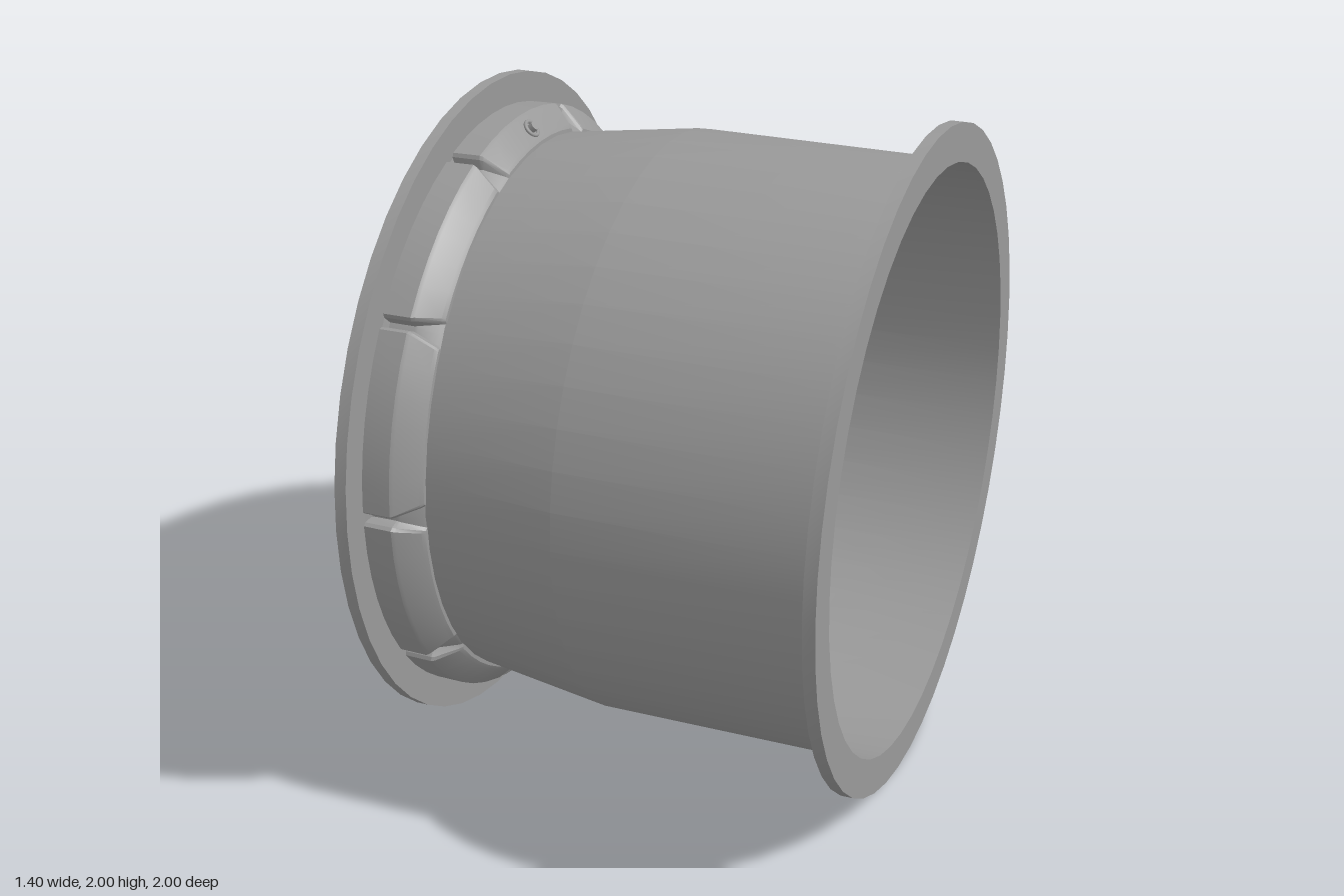
import * as THREE from 'three';
import { toCreasedNormals } from 'three/addons/utils/BufferGeometryUtils.js';

const metal = new THREE.MeshStandardMaterial({ color: 0x999999, side: THREE.DoubleSide });
const red = new THREE.MeshStandardMaterial({ color: 0xa04c4c, side: THREE.DoubleSide });
const DEG = Math.PI / 180;

function add(parent, name, geometry, material = metal) {
  const mesh = new THREE.Mesh(geometry, material);
  mesh.name = name;
  parent.add(mesh);
  return mesh;
}

// Ring turned around the x axis from a closed profile of [x, radius]
function turned(profile, segments = 48, crease = 0.15) {
  const pts = [...profile, profile[0]].map(([x, r]) => new THREE.Vector2(r, x));
  return toCreasedNormals(new THREE.LatheGeometry(pts, segments).rotateZ(-Math.PI / 2), crease);
}

// Surface through rows of [x, y, z] points
function loft(rows, crease) {
  const n = rows[0].length, index = [];
  for (let i = 0; i < rows.length - 1; i++) {
    for (let j = 0; j < n - 1; j++) {
      const a = i * n + j, b = a + 1, c = a + n, d = c + 1;
      index.push(a, b, c, b, d, c);
    }
  }
  const g = new THREE.BufferGeometry();
  g.setAttribute('position', new THREE.Float32BufferAttribute(rows.flat(2), 3));
  g.setIndex(index);
  return toCreasedNormals(g, crease);
}

// Ten raised pads around the outside, parted by grooves that flare towards the barrel
function collar() {
  // x, groove radius, pad radius, half angle of the pad's flat top
  const profile = [[-0.67, 0.87, 0.908, 16.6], [-0.58, 0.87, 0.91, 16.6], [-0.57, 0.868, 0.905, 16.4],
    [-0.515, 0.838, 0.853, 15], [-0.507, 0.83, 0.843, 14.7], [-0.505, 0.82, 0.82, 14.7]];
  const steps = [-1, -0.66, -0.33, 0, 0.33, 0.66, 1];
  const rows = [];
  for (let k = 0; k < 10; k++) {
    const row = (raised, offset) => rows.push(profile.map(([x, low, high, half]) => {
      const a = (18 + 36 * k + offset(half)) * DEG;
      const r = low + raised * (high - low);
      return [x, r * Math.sin(a), r * Math.cos(a)];
    }));
    row(0, () => -18);
    row(0, (half) => -half - 0.9);
    row(0.75, (half) => -half - 0.5);
    for (const s of steps) row(1, (half) => s * half);
    row(0.75, (half) => half + 0.5);
    row(0, (half) => half + 0.9);
    row(0, () => 18);
  }
  return loft(rows, 0.35);
}

// One arm of a forked spoke; two mirrored arms merge into the stem
function arm(side) {
  // radial distance, sideways offset, half width, front x, back x
  const stations = [
    [0.23, 0.045, 0.075, -0.448, -0.255], [0.265, 0.038, 0.062, -0.449, -0.26],
    [0.285, 0.030, 0.044, -0.450, -0.265], [0.31, 0.025, 0.035, -0.451, -0.27],
    [0.35, 0.026, 0.035, -0.457, -0.285], [0.39, 0.034, 0.041, -0.467, -0.30],
    [0.43, 0.048, 0.048, -0.478, -0.31], [0.455, 0.060, 0.045, -0.487, -0.325],
    [0.50, 0.083, 0.036, -0.505, -0.345], [0.60, 0.137, 0.031, -0.55, -0.40],
    [0.70, 0.194, 0.029, -0.60, -0.465], [0.76, 0.228, 0.031, -0.633, -0.51],
    [0.80, 0.250, 0.038, -0.655, -0.56], [0.822, 0.258, 0.047, -0.668, -0.60]];
  const rows = stations.map(([r, c, w, front, back]) => {
    const section = [[front, -0.88], [front, 0.88], [front + 0.012, 0.96], [(front + back) / 2, 1],
      [back - 0.012, 0.97], [back, 0.85], [back, -0.85], [back - 0.012, -0.97],
      [(front + back) / 2, -1], [front + 0.012, -0.96], [front, -0.88]];
    const ring = section.map(([x, k]) => [x, r, side * (c + k * w)]);
    return side > 0 ? ring : ring.reverse();
  });
  return loft(rows, 0.6);
}

// Hub face with centre bore and five fastener recesses
function hubFace() {
  const shape = new THREE.Shape().absarc(0, 0, 0.265, 0, Math.PI * 2);
  shape.holes.push(new THREE.Path().absarc(0, 0, 0.163, 0, Math.PI * 2, true));
  for (let k = 0; k < 5; k++) {
    const a = (90 + 72 * k) * DEG;
    shape.holes.push(new THREE.Path()
      .absarc(0.213 * Math.cos(a), 0.213 * Math.sin(a), 0.024, 0, Math.PI * 2, true));
  }
  const g = new THREE.ExtrudeGeometry(shape, { depth: 0.06, bevelEnabled: false, curveSegments: 24 });
  return toCreasedNormals(g.rotateY(Math.PI / 2).translate(-0.45, 0, 0), 0.6);
}

export function createModel() {
  const model = new THREE.Group();
  model.name = 'wheelRim';
  const wheel = new THREE.Group();
  wheel.name = 'wheel';
  wheel.position.y = 1;
  model.add(wheel);

  // Barrel with both flanges
  add(wheel, 'barrel', turned([
    [-0.7, 0.935], [-0.7, 1], [-0.665, 1], [-0.665, 0.868], [-0.58, 0.866], [-0.51, 0.832],
    [-0.1, 0.89], [0.663, 0.89], [0.663, 1], [0.7, 1], [0.7, 0.885], [-0.1, 0.884],
    [-0.5, 0.827], [-0.52, 0.827], [-0.58, 0.853], [-0.655, 0.862], [-0.672, 0.92]]));
  add(wheel, 'collarPads', collar());

  // Hub
  add(wheel, 'hubFace', hubFace());
  add(wheel, 'hubBack', turned([
    [-0.4, 0.163], [-0.4, 0.265], [-0.26, 0.265], [-0.25, 0.258], [-0.25, 0.163]], 40, 0.5));

  // Five forked spokes
  const left = arm(1), right = arm(-1);
  for (let k = 0; k < 5; k++) {
    const spoke = new THREE.Group();
    spoke.name = 'spoke';
    add(spoke, 'spokeArmLeft', left);
    add(spoke, 'spokeArmRight', right);
    spoke.rotation.x = 72 * k * DEG;
    wheel.add(spoke);
  }

  // Valve seat on the top pad
  const valve = new THREE.Group();
  valve.name = 'valve';
  add(valve, 'valveRing', new THREE.TorusGeometry(0.024, 0.006, 8, 20).rotateX(Math.PI / 2));
  add(valve, 'valvePlug', new THREE.CylinderGeometry(0.014, 0.014, 0.03, 12));
  valve.position.set(-0.537, 0.878, 0);
  valve.rotation.z = -0.86;
  wheel.add(valve);

  // Coloured patches on the lip
  for (const a of [-79, -101, -126]) {
    add(wheel, 'lipPatch', new THREE.RingGeometry(0.945, 0.985, 8, 1, (a - 6) * DEG, 12 * DEG)
      .rotateY(-Math.PI / 2).translate(-0.703, 0, 0), red);
  }
  return model;
}
